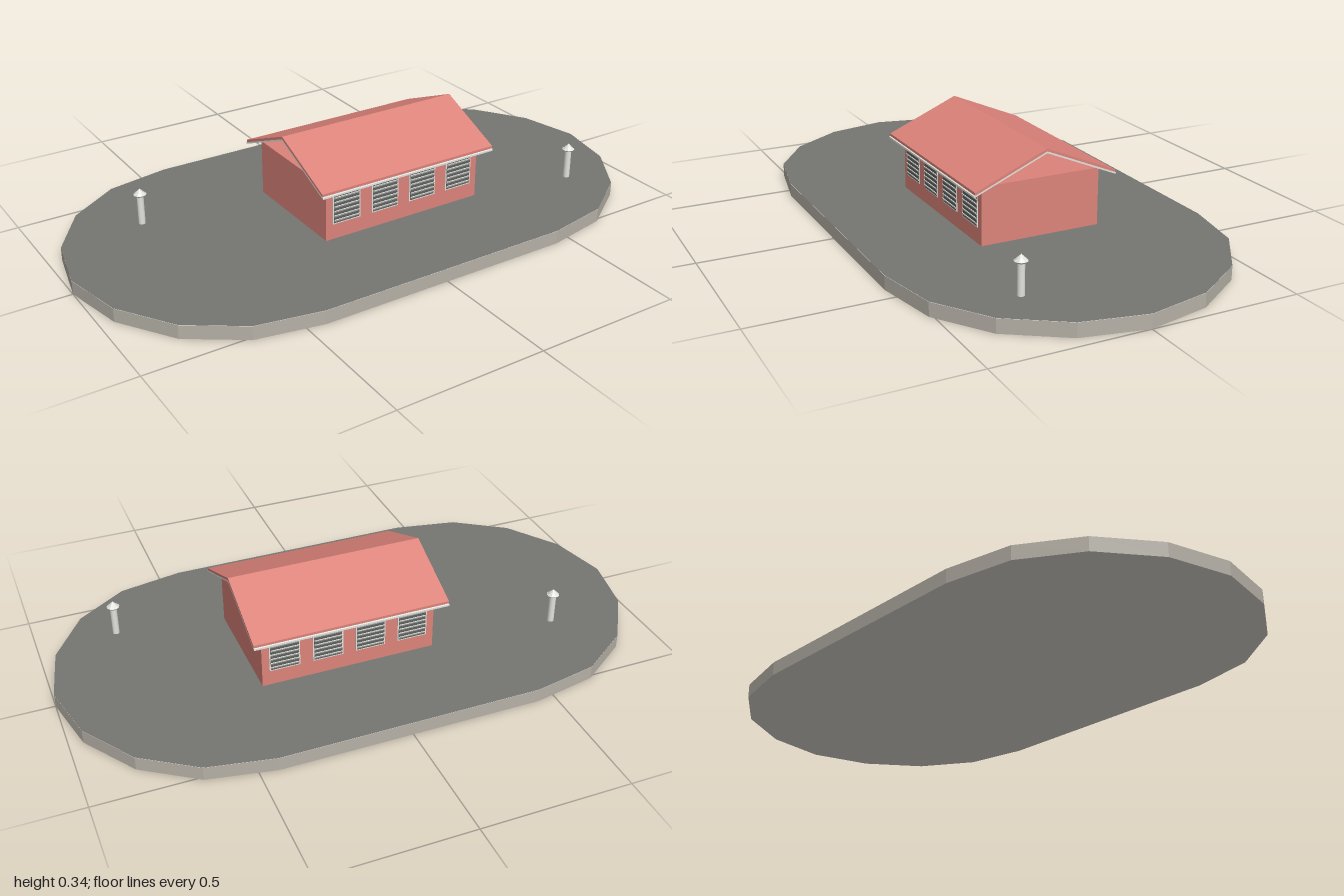
import * as THREE from 'three';

const mat = (name, color) => {
  const m = new THREE.MeshStandardMaterial({ color });
  m.name = name;
  return m;
};

export function createModel() {
  const red = mat('brick red', 0xdc837a);
  const paving = mat('dark paving', 0x757571);
  const curb = mat('warm stone', 0xb6b1a7);
  const base = mat('pale foundation', 0xdcd8d0);
  const pale = mat('pale grey', 0xe2e2de);
  const dark = mat('dark opening', 0x5f625f);
  const model = new THREE.Group();

  const add = (parent, name, geo, material, x = 0, y = 0, z = 0) => {
    const mesh = new THREE.Mesh(geo, material);
    mesh.name = name;
    mesh.position.set(x, y, z);
    parent.add(mesh);
    return mesh;
  };
  const box = (parent, name, w, h, d, material, x, y, z) =>
    add(parent, name, new THREE.BoxGeometry(w, h, d), material, x, y, z);

  // Faceted oval platform, mirrored from one quarter
  const top = 0.047;
  const quarter = [[1, 0], [0.955, 0.21], [0.835, 0.392], [0.66, 0.512], [0.44, 0.555]];
  const half = [...quarter, ...quarter.slice(1).reverse().map(([x, z]) => [-x, z])];
  const ring = [...half, [-1, 0], ...half.slice(1).reverse().map(([x, z]) => [x, -z])];
  const oval = new THREE.Shape(ring.map(([x, z]) => new THREE.Vector2(x, z)));
  const slab = new THREE.ExtrudeGeometry(oval, { depth: top - 0.001, bevelEnabled: false });
  add(model, 'platformCurb', slab.rotateX(-Math.PI / 2), [base, curb]);
  add(model, 'platformPaving', new THREE.ShapeGeometry(oval).rotateX(-Math.PI / 2), paving, 0, top, 0);

  // Building walls
  const house = new THREE.Group();
  house.name = 'building';
  house.position.set(0.073, 0, 0);
  model.add(house);
  box(house, 'walls', 0.598, 0.24 - top, 0.414, red, 0, (0.24 + top) / 2, 0);

  // Gabled roof: a red covering over a pale lining, open at both ends
  const roofLayer = (name, z, ridge, eave, thick, material) => {
    const s = new THREE.Shape();
    s.moveTo(-z, eave);
    s.lineTo(0, ridge);
    s.lineTo(z, eave);
    s.lineTo(z, eave - thick);
    s.lineTo(0, ridge - thick);
    s.lineTo(-z, eave - thick);
    s.closePath();
    const g = new THREE.ExtrudeGeometry(s, { depth: 0.669, bevelEnabled: false });
    g.translate(0, 0, -0.3345).rotateY(Math.PI / 2);
    add(house, name, g, material);
  };
  roofLayer('roofCovering', 0.245, 0.343, 0.239, 0.009, red);
  roofLayer('roofLining', 0.249, 0.334, 0.2285, 0.006, pale);

  // Louvred windows, four on each long side
  const w = 0.104, h = 0.105, midY = 0.153;
  for (const side of [1, -1]) {
    for (let i = 0; i < 4; i++) {
      const win = new THREE.Group();
      win.name = 'louvredWindow';
      win.position.set(-0.222 + i * 0.148, midY, side * 0.207);
      if (side < 0) win.rotation.y = Math.PI;
      house.add(win);
      box(win, 'frame', w, h, 0.002, pale, 0, 0, 0.001);
      box(win, 'opening', w - 0.008, h - 0.008, 0.003, dark, 0, 0, 0.0015);
      for (let k = 0; k < 6; k++) {
        const slat = box(win, 'slat', w - 0.008, 0.009, 0.002, pale, 0, -0.04 + k * 0.016, 0.004);
        slat.rotation.x = 0.5;
      }
    }
  }

  // Bollards: smooth posts with faceted pointed caps
  for (const [x, z] of [[0.738, 0.265], [-0.67, -0.225]]) {
    const bollard = new THREE.Group();
    bollard.name = 'bollard';
    bollard.position.set(x, top, z);
    model.add(bollard);
    add(bollard, 'post', new THREE.CylinderGeometry(0.0115, 0.0115, 0.104, 24), pale, 0, 0.052, 0);
    add(bollard, 'capRim', new THREE.CylinderGeometry(0.021, 0.017, 0.005, 24), pale, 0, 0.1035, 0);
    const cap = new THREE.ConeGeometry(0.021, 0.02, 8).toNonIndexed();
    cap.computeVertexNormals();
    add(bollard, 'cap', cap, pale, 0, 0.116, 0);
  }
  return model;
}
